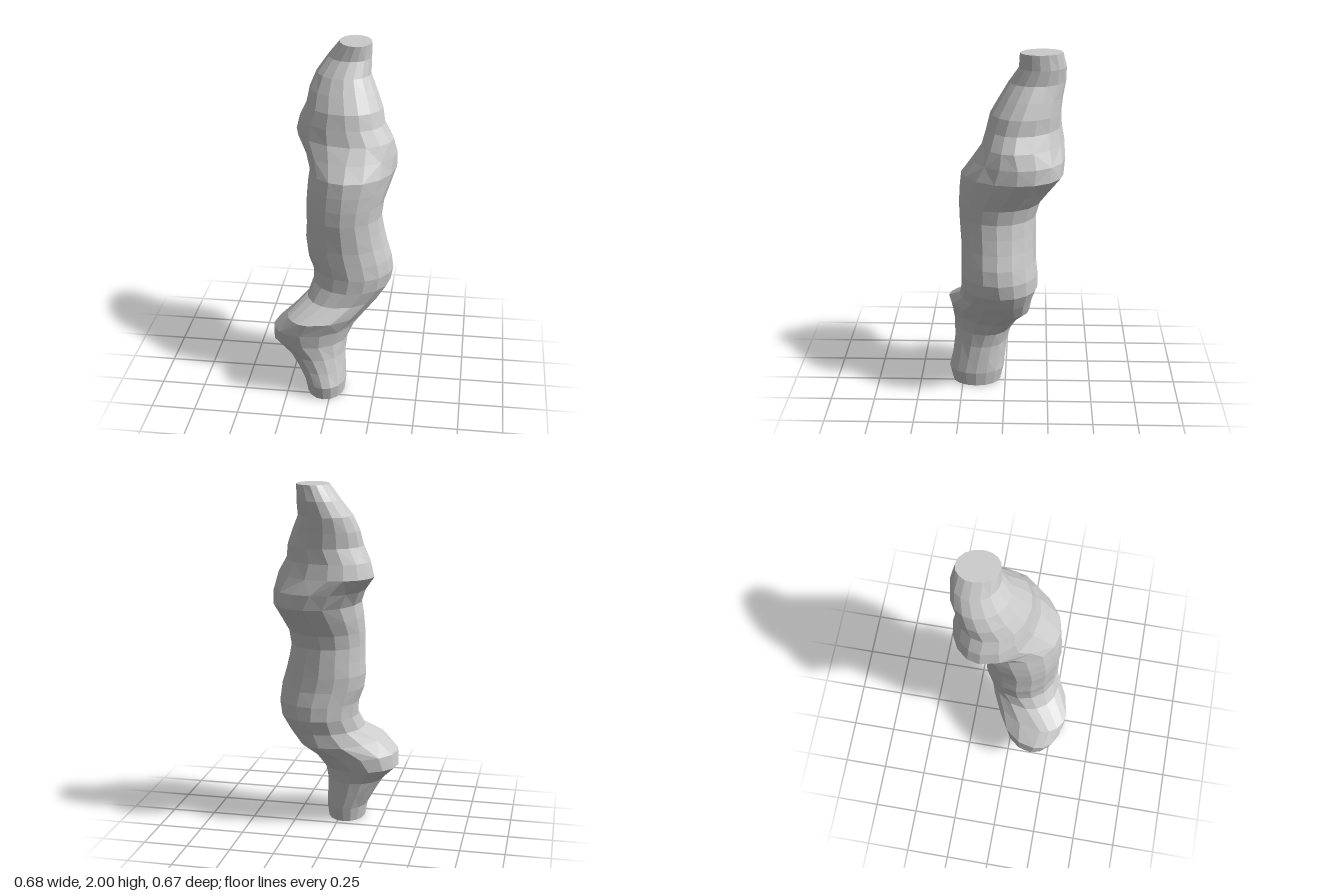
import * as THREE from 'three';

// Evenly spaced sections from bottom to top:
// [left x, right x, back z, front z, diagonal skew]
const SECTIONS = [
  [-0.14, 0.075, 0.03, 0.31, 0], [-0.155, 0.085, 0.01, 0.33, 0],
  [-0.2, 0.08, 0, 0.31, 0], [-0.25, 0.075, -0.01, 0.3, 0.05],
  [-0.34, 0.085, -0.04, 0.305, 0.12], [-0.335, 0.13, -0.08, 0.32, 0.28],
  [-0.25, 0.205, -0.14, 0.335, 0.42], [-0.15, 0.27, -0.155, 0.26, 0.2],
  [-0.12, 0.32, -0.185, 0.245, 0.05], [-0.125, 0.335, -0.185, 0.245, 0],
  [-0.155, 0.325, -0.175, 0.245, 0], [-0.165, 0.3, -0.175, 0.245, 0],
  [-0.16, 0.28, -0.175, 0.25, 0], [-0.16, 0.265, -0.175, 0.255, 0],
  [-0.16, 0.275, -0.2, 0.255, 0], [-0.155, 0.305, -0.26, 0.25, 0.05],
  [-0.145, 0.335, -0.32, 0.24, 0.1], [-0.18, 0.335, -0.33, 0.18, 0],
  [-0.24, 0.315, -0.325, 0.125, -0.2], [-0.22, 0.265, -0.31, 0.1, -0.18],
  [-0.18, 0.25, -0.305, 0.08, -0.1], [-0.165, 0.215, -0.315, 0.03, -0.1],
  [-0.13, 0.175, -0.33, -0.02, -0.1], [-0.07, 0.175, -0.33, -0.075, -0.1],
  [-0.005, 0.175, -0.31, -0.08, -0.1],
];
const QUARTER = 4;
const SIDES = QUARTER * 4;

// Closed ring of four quarter arcs joining the left, front, right and back extremes
function ring([x0, x1, z0, z1, skew]) {
  const cx = (x0 + x1) / 2, cz = (z0 + z1) / 2;
  const dx = skew * (x1 - x0) / 2, dz = skew * (z1 - z0) / 2;
  const extremes = [[x0, cz + dz], [cx - dx, z1], [x1, cz - dz], [cx + dx, z0]];
  const points = [];
  for (let q = 0; q < 4; q++) {
    const a = extremes[q], b = extremes[(q + 1) % 4];
    // Centre of this quarter arc
    const ox = q % 2 ? a[0] : b[0], oz = q % 2 ? b[1] : a[1];
    for (let i = 0; i < QUARTER; i++) {
      const t = (i / QUARTER) * Math.PI / 2;
      const c = Math.cos(t), s = Math.sin(t);
      points.push([ox + (a[0] - ox) * c + (b[0] - ox) * s, oz + (a[1] - oz) * c + (b[1] - oz) * s]);
    }
  }
  return points;
}

function trunkGeometry() {
  const positions = [], indices = [];
  const last = SECTIONS.length - 1;
  SECTIONS.forEach((section, j) => {
    for (const [x, z] of ring(section)) positions.push(x, (2 * j) / last, z);
  });
  // Skin between neighbouring rings
  for (let j = 0; j < last; j++) {
    for (let i = 0; i < SIDES; i++) {
      const a = j * SIDES + i, b = j * SIDES + (i + 1) % SIDES;
      const c = b + SIDES, d = a + SIDES;
      if ((i + j) % 2) indices.push(a, b, c, a, c, d);
      else indices.push(a, b, d, b, c, d);
    }
  }
  // Flat end caps
  for (let i = 1; i < SIDES - 1; i++) {
    const top = last * SIDES;
    indices.push(0, i + 1, i, top, top + i, top + i + 1);
  }
  const geometry = new THREE.BufferGeometry();
  geometry.setAttribute('position', new THREE.Float32BufferAttribute(positions, 3));
  geometry.setIndex(indices);
  geometry.computeVertexNormals();
  return geometry;
}

export function createModel() {
  const group = new THREE.Group();
  group.name = 'gnarledColumn';
  const material = new THREE.MeshStandardMaterial({ color: 0xcccccc, flatShading: true });
  const trunk = new THREE.Mesh(trunkGeometry(), material);
  trunk.name = 'trunk';
  group.add(trunk);
  return group;
}
